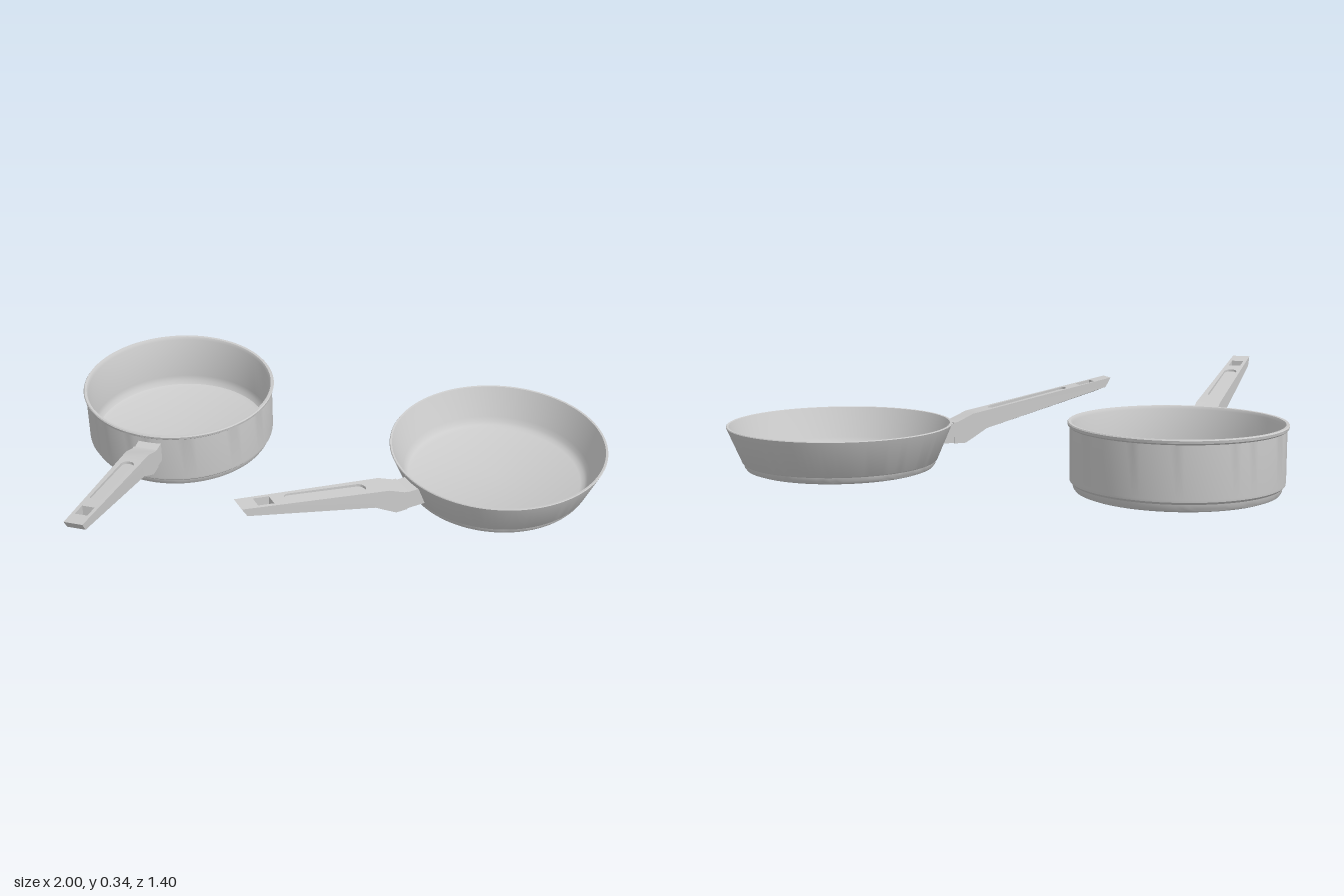
import * as THREE from 'three';
import { toCreasedNormals } from 'three/addons/utils/BufferGeometryUtils.js';

const material = new THREE.MeshStandardMaterial({ color: 0xcccccc });

function addMesh(parent, name, geometry) {
  const mesh = new THREE.Mesh(toCreasedNormals(geometry, 0.55), material);
  mesh.name = name;
  parent.add(mesh);
}

// Handle rules, with t = distance outwards from the vessel
const LENGTH = 0.68, GRIP_START = 0.17;
const widthAt = t => 0.09 - 0.037 * t;
const topAt = t => 0.107 + (t - 0.115) * 0.191;
const bottomAt = t => 0.05 + (t - GRIP_START) * 0.255;

const polygon = pts => new THREE.Shape(pts.map(p => new THREE.Vector2(...p)));

function warp(geometry, rule) {
  const p = geometry.attributes.position;
  for (let i = 0; i < p.count; i++) p.setXYZ(i, ...rule(p.getX(i), p.getY(i), p.getZ(i)));
  return geometry;
}

// Side outline (t, y) extruded across the handle width
function sideBlock(pts, scale) {
  const g = new THREE.ExtrudeGeometry(polygon(pts), { depth: 1, bevelEnabled: false });
  return warp(g, (t, y, w) => [(0.5 - w) * widthAt(t) * scale, y, t]);
}

// Plan outline (x, t) filled between the underside and a share of the thickness
function planBlock(shape, from, to) {
  const g = new THREE.ExtrudeGeometry(shape, { depth: 1, bevelEnabled: false, curveSegments: 8 });
  return warp(g, (x, t, f) => {
    const k = from + (to - from) * f;
    const slant = t > LENGTH - 0.01 ? 0.02 * (1 - k) : 0;
    return [-x, THREE.MathUtils.lerp(bottomAt(t), topAt(t), k), t - slant];
  });
}

// Rounded slot outline
function slotPath(Type, r, t0, t1) {
  const s = new Type();
  s.absarc(0, t1 - r, r, 0, Math.PI, false);
  s.absarc(0, t0 + r, r, Math.PI, Math.PI * 2, false);
  s.closePath();
  return s;
}

function makeHandle(lowReach, highReach) {
  const handle = new THREE.Group();

  // Bracket against the wall
  addMesh(handle, 'handleBracket', sideBlock(
    [[lowReach, 0.002], [0.06, 0.002], [0.06, 0.074], [highReach, 0.074]], 0.95));

  // Thick root of the grip
  addMesh(handle, 'handleRoot', sideBlock(
    [[0.04, 0], [0.085, 0], [0.12, 0.02], [GRIP_START, bottomAt(GRIP_START)],
      [GRIP_START, topAt(GRIP_START)], [0.115, 0.107], [0.055, 0.08], [0.04, 0.078]], 1));

  // Long grip with a slot and a hanging hole
  const w0 = widthAt(GRIP_START) / 2, w1 = widthAt(LENGTH) / 2;
  const plan = polygon([[-w0, GRIP_START], [w0, GRIP_START], [w1, LENGTH], [-w1, LENGTH]]);
  plan.holes.push(slotPath(THREE.Path, 0.023, 0.19, 0.505));
  const hole = new THREE.Path();
  hole.setFromPoints([[-0.022, 0.555], [-0.022, 0.615], [0.022, 0.615], [0.022, 0.555], [-0.022, 0.555]]
    .map(p => new THREE.Vector2(...p)));
  plan.holes.push(hole);
  addMesh(handle, 'handleGrip', planBlock(plan, 0, 1));

  // Recessed floor of the slot
  addMesh(handle, 'gripInset', planBlock(slotPath(THREE.Shape, 0.023, 0.19, 0.505), 0, 0.84));
  return handle;
}

function makeVessel(name, profile, centre, handleAt, yaw, reach) {
  const group = new THREE.Group();
  group.name = name;
  const body = new THREE.LatheGeometry(profile.map(p => new THREE.Vector2(...p)), 96);
  body.translate(centre[0], 0, centre[1]);
  addMesh(group, name + 'Body', body);
  const handle = makeHandle(...reach);
  handle.name = name + 'Handle';
  handle.position.set(...handleAt);
  handle.rotation.y = yaw;
  group.add(handle);
  return group;
}

export function createModel() {
  const model = new THREE.Group();

  // Straight-sided saucepan: underside, wall, rolled rim, inside, floor
  const saucepan = [
    [0, 0], [0.21, 0], [0.215, 0.005], [0.325, 0.006], [0.338, 0.011], [0.344, 0.02],
    [0.347, 0.034], [0.355, 0.042], [0.356, 0.05], [0.356, 0.222], [0.362, 0.227], [0.364, 0.236],
    [0.361, 0.24], [0.352, 0.239], [0.346, 0.229], [0.345, 0.06], [0.342, 0.04],
    [0.333, 0.026], [0.318, 0.02], [0, 0.02]];
  model.add(makeVessel('saucepan', saucepan, [-0.637, -0.34],
    [-0.668, 0.13, 0.017], -0.109, [-0.006, -0.006]));

  // Flared frying pan
  const fryingPan = [
    [0, 0], [0.21, 0], [0.215, 0.005], [0.32, 0.006], [0.334, 0.011], [0.341, 0.02],
    [0.344, 0.032], [0.349, 0.036], [0.403, 0.163], [0.401, 0.166], [0.394, 0.165],
    [0.348, 0.055], [0.34, 0.038], [0.33, 0.027], [0.315, 0.02], [0, 0.02]];
  model.add(makeVessel('fryingPan', fryingPan, [0.597, -0.215],
    [0.3, 0.065, 0.038], -0.95, [-0.032, -0.004]));

  return model;
}
